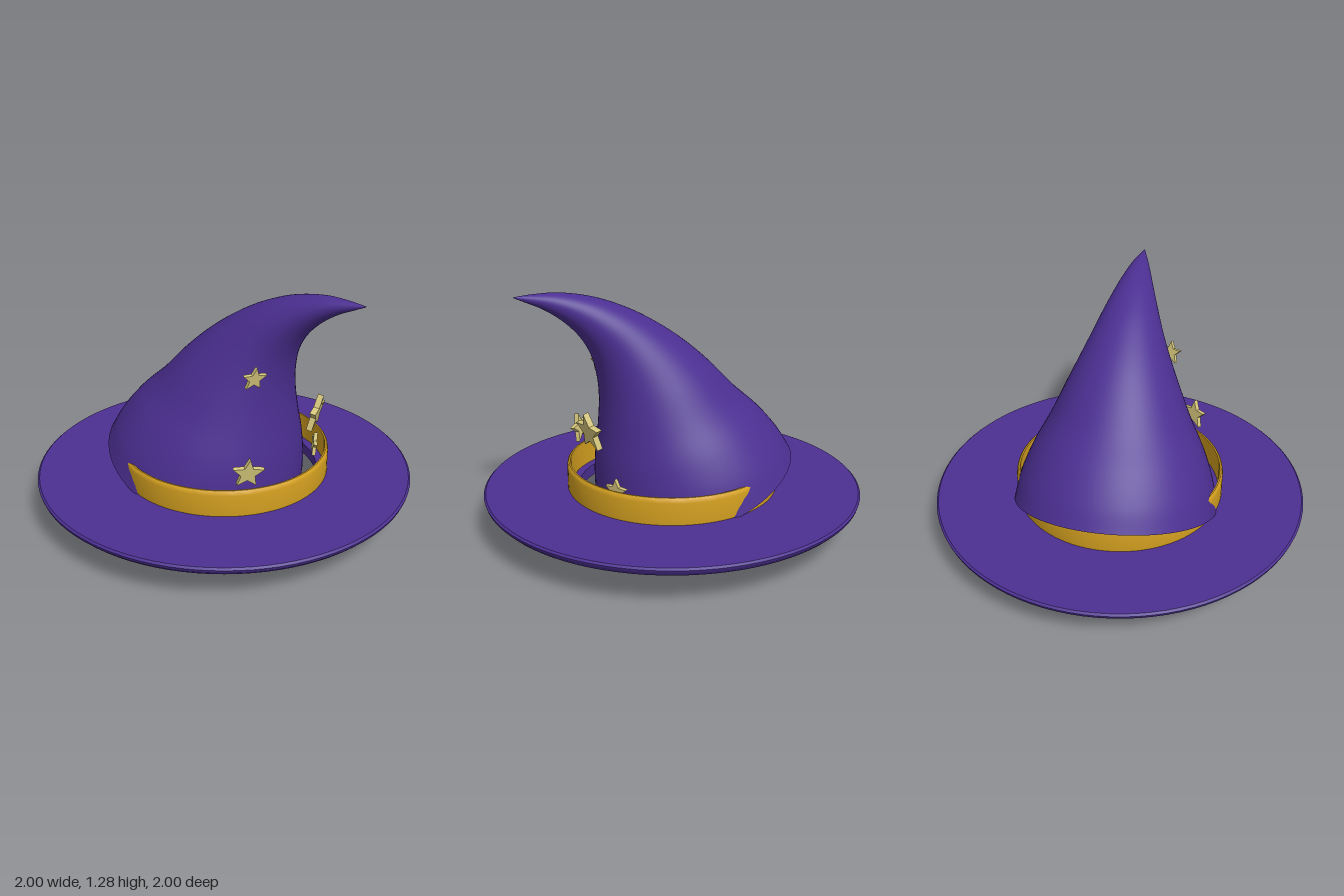
import * as THREE from 'three';
import { toCreasedNormals } from 'three/addons/utils/BufferGeometryUtils.js';

const purple = new THREE.MeshStandardMaterial({ color: 0x4c2f92, side: THREE.DoubleSide });
const gold = new THREE.MeshStandardMaterial({ color: 0xd4a020, side: THREE.DoubleSide });
const paleGold = new THREE.MeshStandardMaterial({ color: 0xd6c77c });

function addMesh(parent, name, geometry, material) {
  const mesh = new THREE.Mesh(geometry, material);
  mesh.name = name;
  parent.add(mesh);
  return mesh;
}

// Closed [radius, height] profile turned about the y axis
function ring(profile) {
  const points = [...profile, profile[0]].map(([r, y]) => new THREE.Vector2(r, y));
  return toCreasedNormals(new THREE.LatheGeometry(points, 96), 0.7);
}

// Curved cone: circular sections spanning a front and a back outline, both given as [z, y]
function crownGeometry(rows = 66, sides = 72) {
  const front = [[0.38, 0], [0.41, 0.18], [0.41, 0.36], [0.392, 0.55], [0.385, 0.7], [0.395, 0.82],
    [0.425, 0.94], [0.48, 1.04], [0.56, 1.125], [0.66, 1.195], [0.745, 1.235], [0.8, 1.26]];
  const back = [[-0.64, 0.39], [-0.575, 0.49], [-0.47, 0.61], [-0.33, 0.735], [-0.2, 0.87], [-0.07, 0.985],
    [0.07, 1.085], [0.22, 1.17], [0.4, 1.24], [0.58, 1.273], [0.72, 1.272], [0.8, 1.264]];
  const toCurve = (pts) => new THREE.CatmullRomCurve3(pts.map(([z, y]) => new THREE.Vector3(0, y, z)));
  const frontCurve = toCurve(front);
  const backCurve = toCurve(back);
  const positions = [];
  const indices = [];
  for (let i = 0; i <= rows; i++) {
    const f = frontCurve.getPoint(i / rows);
    const b = backCurve.getPoint(i / rows);
    const centre = f.clone().add(b).multiplyScalar(0.5);
    const arm = f.sub(b).multiplyScalar(0.5);
    const radius = arm.length();
    for (let j = 0; j < sides; j++) {
      const a = (j / sides) * Math.PI * 2;
      const p = centre.clone().addScaledVector(arm, Math.sin(a));
      positions.push(radius * Math.cos(a), p.y, p.z);
      if (i < rows) {
        const k = i * sides + j;
        const next = i * sides + ((j + 1) % sides);
        indices.push(k, k + sides, next, next, k + sides, next + sides);
      }
    }
  }
  const geometry = new THREE.BufferGeometry();
  geometry.setAttribute('position', new THREE.Float32BufferAttribute(positions, 3));
  geometry.setIndex(indices);
  geometry.computeVertexNormals();
  return geometry;
}

// Five-pointed star of outer radius 1, centred in depth
function starGeometry(radius) {
  const shape = new THREE.Shape();
  for (let i = 0; i < 10; i++) {
    const r = i % 2 ? radius * 0.45 : radius;
    const a = Math.PI / 2 + (i * Math.PI) / 5;
    shape[i ? 'lineTo' : 'moveTo'](r * Math.cos(a), r * Math.sin(a));
  }
  const depth = radius * 0.3;
  return new THREE.ExtrudeGeometry(shape, { depth, bevelEnabled: false }).translate(0, 0, -depth / 2);
}

export function createModel() {
  const hat = new THREE.Group();
  hat.name = 'wizardHat';

  // Flat brim with a rounded lower edge and a central hole
  addMesh(hat, 'brim', ring([[0.5, 0.15], [0.88, 0.15], [0.94, 0.157], [0.975, 0.172], [0.995, 0.192],
    [1, 0.208], [0.99, 0.217], [0.95, 0.217], [0.5, 0.21]]), purple);

  // Forward-curling crown, open underneath
  addMesh(hat, 'crown', crownGeometry(), purple);

  // Band standing on the brim
  addMesh(hat, 'band', ring([[0.542, 0.2], [0.558, 0.2], [0.56, 0.215], [0.56, 0.325], [0.557, 0.343],
    [0.55, 0.35], [0.542, 0.35]]), gold);

  // Stars: position, radius, then tilt, turn and roll
  const stars = new THREE.Group();
  stars.name = 'stars';
  hat.add(stars);
  [
    [-0.22, 0.87, 0.35, 0.064, 0.2, -0.5, -0.08],
    [-0.36, 0.445, 0.42, 0.082, 0.15, -0.72, -0.1],
    [0.145, 0.595, 0.48, 0.103, 0.22, 0.3, 0],
    [0.295, 0.325, 0.39, 0.066, 0.1, 0.65, 0],
  ].forEach(([x, y, z, radius, tilt, turn, roll]) => {
    const star = addMesh(stars, 'star', starGeometry(radius), paleGold);
    star.position.set(x, y, z);
    star.rotation.set(tilt, turn, roll, 'YXZ');
  });

  return hat;
}
